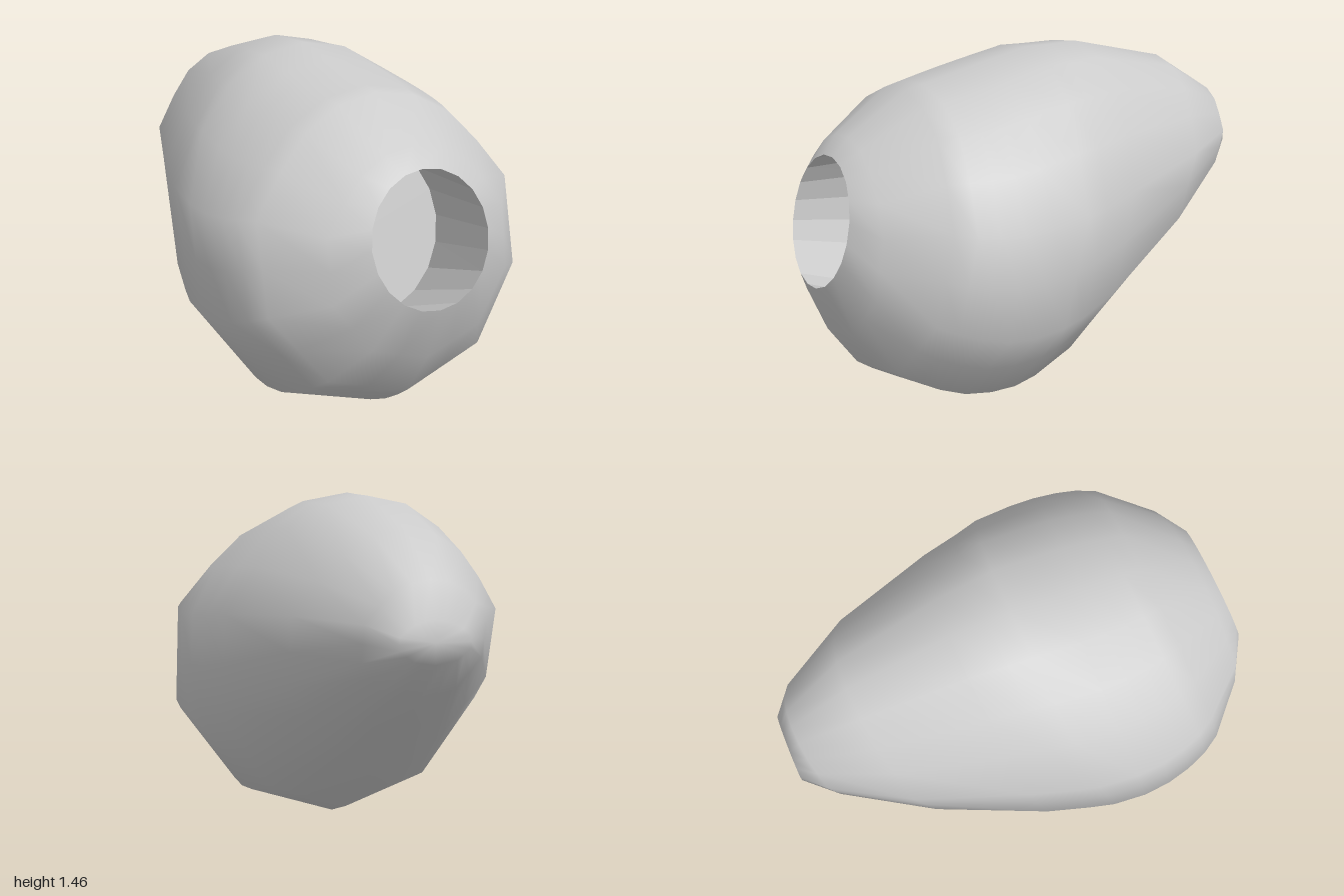
import * as THREE from 'three';

const SIDES = 20;

// A ring between its top and bottom points (z, y). The faceted rings have
// a ten-sided lower half and a rounder, slightly narrowed crown.
function ring([topZ, topY, bottomZ, bottomY, halfWidth], faceted) {
  const round = [];
  for (let k = 0; k < SIDES; k++) {
    const a = (k / SIDES) * Math.PI * 2;
    const t = (1 - Math.cos(a)) / 2;
    const narrow = faceted && k >= 7 && k <= 13 ? 0.92 : 1;
    round.push(new THREE.Vector3(
      halfWidth * narrow * Math.sin(a),
      THREE.MathUtils.lerp(bottomY, topY, t),
      THREE.MathUtils.lerp(bottomZ, topZ, t)
    ));
  }
  if (!faceted) return round;
  return round.map((p, k) => {
    const lower = k <= 5 || k >= 15;
    if (k % 2 === 0 || !lower) return p;
    return round[k - 1].clone().lerp(round[(k + 1) % SIDES], 0.5);
  });
}

// Skin a series of rings
function loft(rings) {
  const positions = [];
  const index = [];
  rings.forEach((r) => r.forEach((p) => positions.push(p.x, p.y, p.z)));
  for (let i = 0; i < rings.length - 1; i++) {
    for (let k = 0; k < SIDES; k++) {
      const n = (k + 1) % SIDES;
      const a = i * SIDES + k, b = i * SIDES + n;
      const c = a + SIDES, d = b + SIDES;
      index.push(a, c, b, b, c, d);
    }
  }
  const geometry = new THREE.BufferGeometry();
  geometry.setAttribute('position', new THREE.Float32BufferAttribute(positions, 3));
  geometry.setIndex(index);
  geometry.computeVertexNormals();
  return geometry;
}

function addMesh(group, name, geometry, flatShading) {
  const material = new THREE.MeshStandardMaterial({ color: 0xcccccc, flatShading });
  const mesh = new THREE.Mesh(geometry, material);
  mesh.name = name;
  group.add(mesh);
}

export function createModel() {
  const group = new THREE.Group();
  group.name = 'hollowedEgg';

  // Egg-shaped shell, from the opening at the front to the blunt tip:
  // top z, top y, bottom z, bottom y, half width
  const sections = [
    [0.86, 1.14, 1.0, 0.63, 0.26],
    [0.79, 1.21, 0.93, 0.41, 0.415],
    [0.54, 1.36, 0.81, 0.22, 0.6],
    [0.46, 1.373, 0.74, 0.165, 0.645],
    [0.38, 1.388, 0.65, 0.105, 0.675],
    [0.29, 1.405, 0.54, 0.05, 0.695],
    [0.18, 1.425, 0.42, 0.018, 0.7],
    [-0.02, 1.46, 0.31, 0.0, 0.685],
    [-0.12, 1.455, 0.2, 0.01, 0.655],
    [-0.27, 1.45, 0.0, 0.08, 0.605],
    [-0.7, 1.33, -0.45, 0.405, 0.44],
    [-0.95, 1.165, -0.84, 0.7, 0.25],
    [-1.0, 1.02, -1.0, 0.86, 0.145],
    [-1.0, 0.94, -1.0, 0.94, 0],
  ];
  addMesh(group, 'shell', loft(sections.map((s, i) => ring(s, i > 0))), false);

  // Cavity behind the opening, widening inwards to a flat tilted floor
  const cavity = loft([
    ring([0.46, 0.78, 0.46, 0.78, 0]),
    ring([0.37, 1.13, 0.55, 0.43, 0.36]),
    ring(sections[0]),
  ]);
  addMesh(group, 'cavity', cavity, true);

  return group;
}
